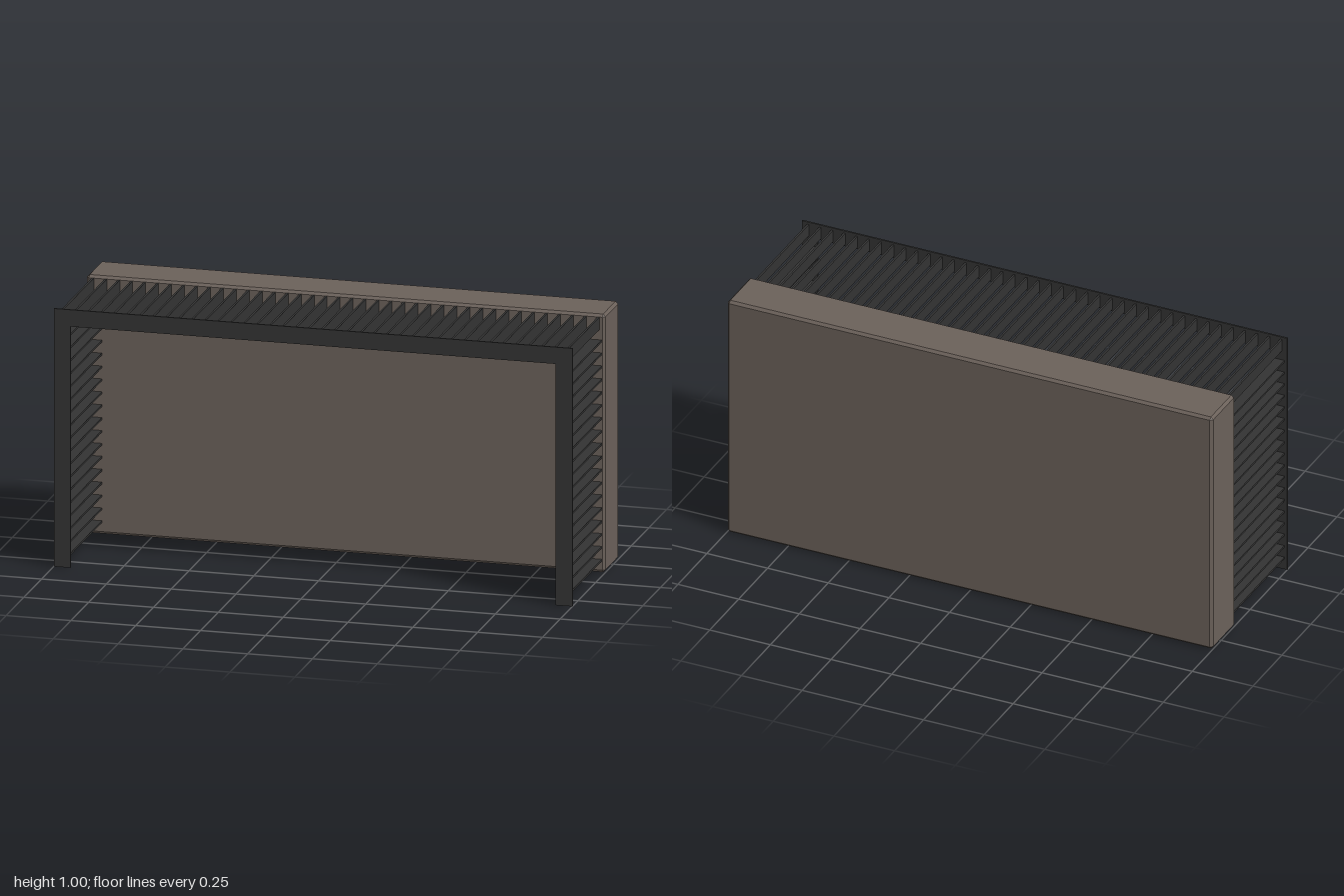
import * as THREE from 'three';
import { ConvexGeometry } from 'three/addons/geometries/ConvexGeometry.js';

// Box with every edge cut flat by c
function chamferBox(w, h, d, c) {
  const pts = [];
  for (const x of [-w / 2, w / 2]) for (const y of [-h / 2, h / 2]) for (const z of [-d / 2, d / 2]) {
    const sx = Math.sign(x) * c, sy = Math.sign(y) * c, sz = Math.sign(z) * c;
    pts.push(
      new THREE.Vector3(x, y - sy, z - sz),
      new THREE.Vector3(x - sx, y, z - sz),
      new THREE.Vector3(x - sx, y - sy, z));
  }
  return new ConvexGeometry(pts);
}

export function createModel() {
  const model = new THREE.Group();
  model.name = 'slattedCanopy';
  const brown = new THREE.MeshStandardMaterial({ color: 0x6a6059 });
  brown.name = 'warm grey brown';
  const dark = new THREE.MeshStandardMaterial({ color: 0x333333 });
  dark.name = 'charcoal';

  const add = (name, geometry, material, x, y, z, parent = model) => {
    const mesh = new THREE.Mesh(geometry, material);
    mesh.name = name;
    mesh.position.set(x, y, z);
    parent.add(mesh);
  };

  // Solid rear block
  add('rearBlock', chamferBox(2, 1, 0.197, 0.01), brown, 0, 0.5, -0.2295);

  // Thin front frame, open at the bottom
  const frame = new THREE.Shape([
    [-1, 0], [-0.935, 0], [-0.935, 0.935], [0.935, 0.935],
    [0.935, 0], [1, 0], [1, 1], [-1, 1],
  ].map(([x, y]) => new THREE.Vector2(x, y)));
  add('frontFrame', new THREE.ExtrudeGeometry(frame, { depth: 0.007, bevelEnabled: false }), dark, 0, 0, 0.321);

  // Slats run from the block to the frame
  const length = 0.456, midZ = 0.095;
  const topSlats = new THREE.Group();
  topSlats.name = 'topSlats';
  const topGeometry = new THREE.BoxGeometry(0.008, 0.048, length);
  for (let i = 0; i < 40; i++) add('topSlat', topGeometry, dark, -0.975 + i * 0.05, 0.966, midZ, topSlats);
  model.add(topSlats);

  const sideGeometry = new THREE.BoxGeometry(0.048, 0.008, length);
  for (const side of [1, -1]) {
    const slats = new THREE.Group();
    slats.name = side > 0 ? 'leftSlats' : 'rightSlats';
    for (let i = 1; i <= 18; i++) add('sideSlat', sideGeometry, dark, side * 0.964, i * 0.05 - 0.002, midZ, slats);
    model.add(slats);
  }
  return model;
}
